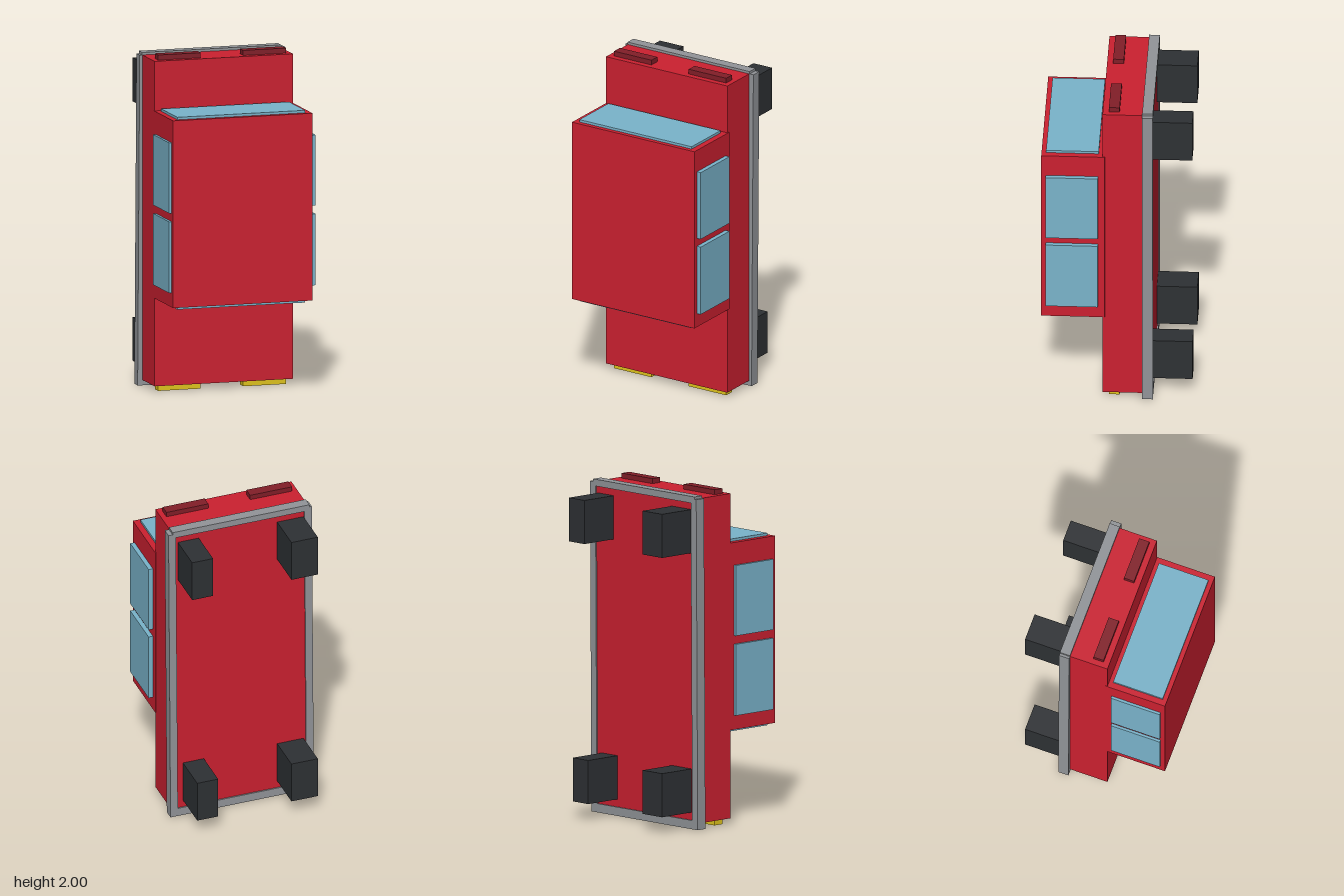
import * as THREE from 'three';

const mat = (color) => new THREE.MeshStandardMaterial({ color, flatShading: true });

export function createModel() {
  const car = new THREE.Group();
  car.name = 'blockCar';

  const red = mat(0xcc2030);
  const glass = mat(0x7ab4cb);
  const black = mat(0x2e3134);
  const grey = mat(0x929599);
  const darkRed = mat(0x821e28);
  const yellow = mat(0xe0c41c);

  // Box given by its min / max on each axis
  const box = (name, material, [x0, x1], [y0, y1], [z0, z1]) => {
    const mesh = new THREE.Mesh(new THREE.BoxGeometry(x1 - x0, y1 - y0, z1 - z0), material);
    mesh.position.set((x0 + x1) / 2, (y0 + y1) / 2, (z0 + z1) / 2);
    mesh.name = name;
    car.add(mesh);
    return mesh;
  };

  // Main body and cabin (the car stands on its nose, wheels to the back)
  box('body', red, [-0.428, 0.425], [0.035, 1.97], [-0.205, 0.083]);
  box('cabin', red, [-0.43, 0.43], [0.56, 1.675], [0.07, 0.443]);

  // Windscreen and rear window
  box('windscreen', glass, [-0.395, 0.393], [0.545, 0.575], [0.107, 0.416]);
  box('rearWindow', glass, [-0.395, 0.393], [1.66, 1.69], [0.107, 0.416]);

  // Two windows on each side
  for (const y of [[0.645, 1.07], [1.12, 1.54]]) {
    box('sideWindowRight', glass, [-0.445, -0.415], y, [0.11, 0.416]);
    box('sideWindowLeft', glass, [0.415, 0.457], y, [0.11, 0.416]);
  }

  // Trim strips round the underside; the long ones lean very slightly
  const trimZ = [-0.213, -0.15];
  for (const [name, x0, x1] of [['trimRight', -0.451, -0.405], ['trimLeft', 0.402, 0.448]]) {
    box(name, grey, [x0, x1], [0.003, 1.97], trimZ).rotation.z = -0.0065;
  }
  box('trimBottom', grey, [-0.43, 0.42], [0.003, 0.055], trimZ);
  box('trimTop', grey, [-0.43, 0.428], [1.945, 1.985], trimZ);

  // Wheels
  const wheelZ = [-0.443, -0.2];
  const low = [0.1, 0.36], high = [1.645, 1.905];
  box('frontWheelRight', black, [-0.395, -0.23], low, wheelZ);
  box('rearWheelRight', black, [-0.395, -0.23], high, wheelZ);
  box('frontWheelLeft', black, [0.23, 0.361], low, wheelZ);
  box('rearWheelLeft', black, [0.262, 0.393], high, wheelZ);

  // Headlights and tail lights
  for (const x of [[-0.395, -0.132], [0.13, 0.393]]) {
    box('headlight', yellow, x, [0, 0.045], [-0.016, 0.047]);
    box('tailLight', darkRed, x, [1.96, 2], [-0.016, 0.047]);
  }

  return car;
}
